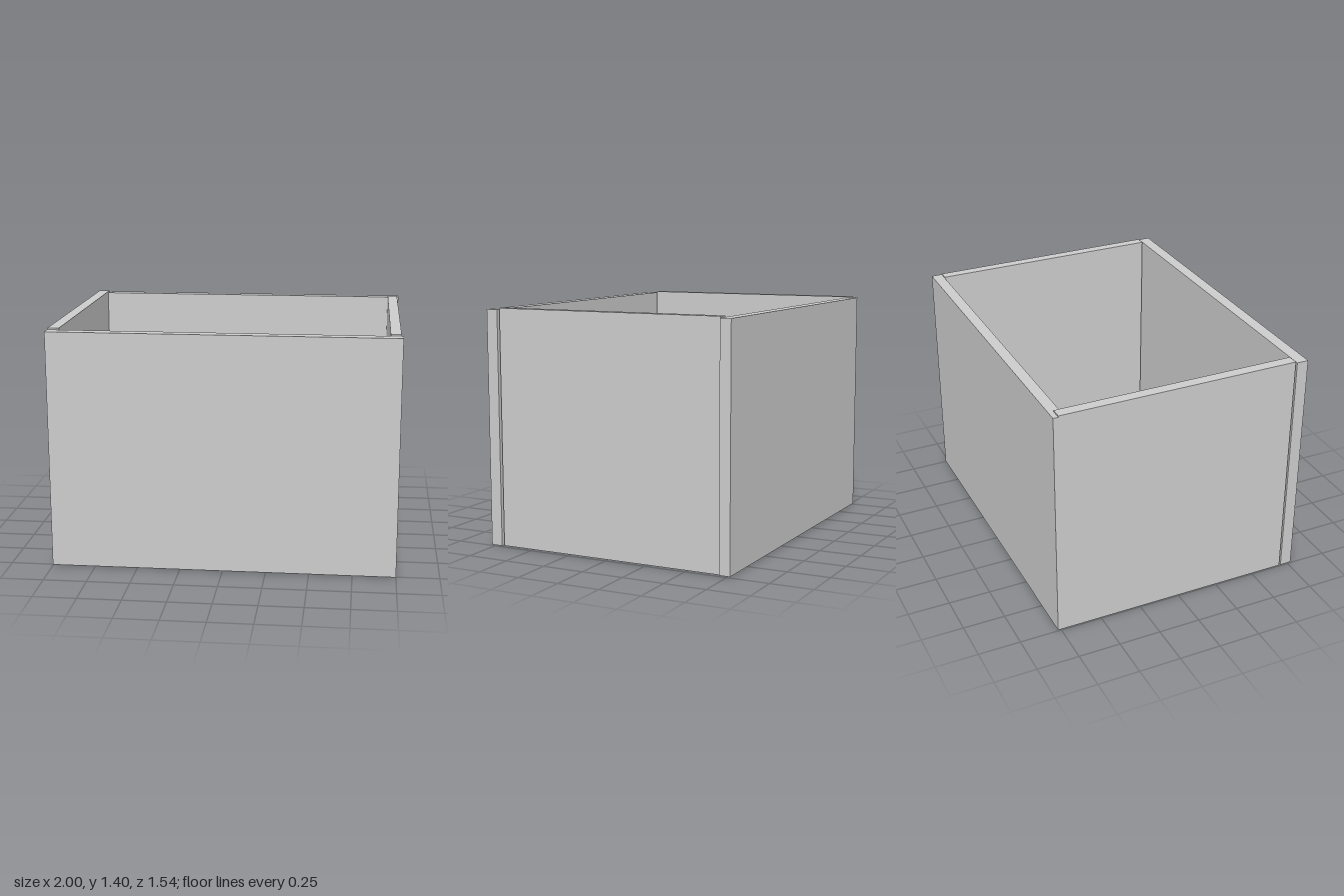
import * as THREE from 'three';

const material = new THREE.MeshStandardMaterial({ color: 0xcccccc });

export function createModel() {
  const room = new THREE.Group();
  room.name = 'room';

  const add = (name, geometry, x, y, z, parent = room) => {
    const mesh = new THREE.Mesh(geometry, material);
    mesh.name = name;
    mesh.position.set(x, y, z);
    parent.add(mesh);
    return mesh;
  };

  // Box given by its limits along each axis
  const box = (name, [x0, x1], [y0, y1], [z0, z1], parent) =>
    add(name, new THREE.BoxGeometry(x1 - x0, y1 - y0, z1 - z0),
      (x0 + x1) / 2, (y0 + y1) / 2, (z0 + z1) / 2, parent);

  // Floor and four walls, open at the top
  const wallHeight = [0.006, 1.392];
  const sideHeight = [0.006, 1.4];
  box('floor', [-0.96, 0.92], [0, 0.08], [-0.72, 0.705]);
  box('frontWall', [-1, 1], wallHeight, [0.7, 0.77]);
  box('backWall', [-1, 1], wallHeight, [-0.77, -0.705]);
  box('rightWall', [-1, -0.935], sideHeight, [-0.74, 0.69]);
  box('leftWall', [0.93, 0.99], sideHeight, [-0.705, 0.69]);

  // Stepped cabinet against the side wall
  const cabinet = new THREE.Group();
  cabinet.name = 'cabinet';
  room.add(cabinet);
  box('cabinetBase', [-0.925, -0.592], [0.08, 0.45], [-0.415, 0.437], cabinet);
  box('cabinetBody', [-0.92, -0.595], [0.45, 0.82], [-0.415, 0.235], cabinet);
  box('cabinetTopBox', [-0.915, -0.615], [0.82, 1.04], [-0.23, 0.015], cabinet);

  // Horizontal drum on two upright posts, with a wheel at one end
  const drumUnit = new THREE.Group();
  drumUnit.name = 'drumUnit';
  room.add(drumUnit);
  const drum = add('drum', new THREE.CylinderGeometry(0.064, 0.064, 0.33, 32), -0.524, 0.5, -0.01, drumUnit);
  drum.rotation.x = Math.PI / 2;
  for (const z of [0.15, -0.225]) {
    add('post', new THREE.CylinderGeometry(0.062, 0.062, 0.34, 32), -0.524, 0.25, z, drumUnit);
  }
  const wheel = add('wheel', new THREE.CylinderGeometry(0.094, 0.094, 0.048, 32), -0.548, 0.52, -0.282, drumUnit);
  wheel.rotation.z = Math.PI / 2;

  // Low chest against the back wall
  box('chest', [-0.155, 0.57], [0.08, 0.45], [-0.69, -0.375]);

  return room;
}
